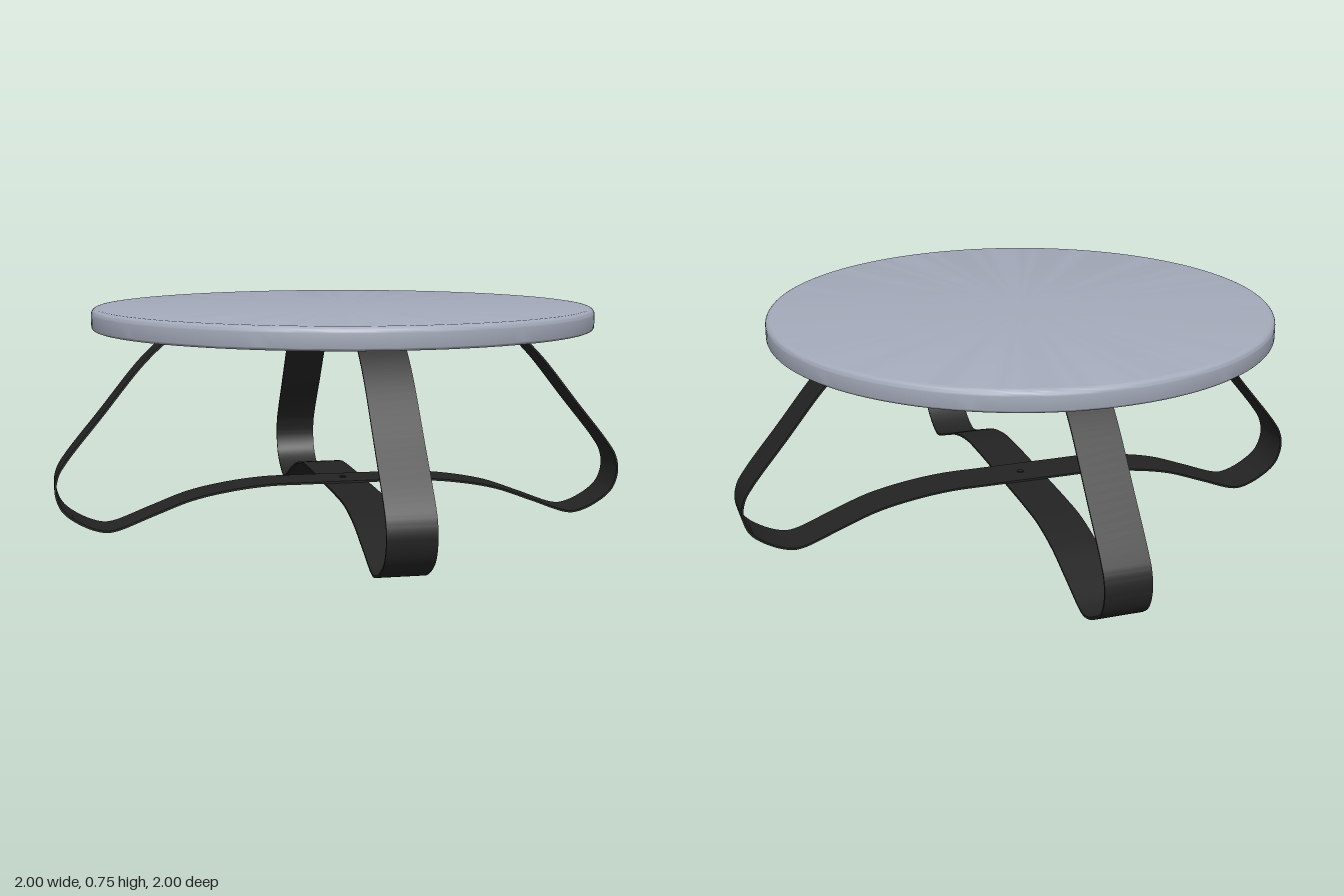
import * as THREE from 'three';
import { toCreasedNormals } from 'three/addons/utils/BufferGeometryUtils.js';

const topMaterial = new THREE.MeshStandardMaterial({ color: 0xa4aaba });
topMaterial.name = 'blue grey top';
const strapMaterial = new THREE.MeshStandardMaterial({ color: 0x232323 });
strapMaterial.name = 'black steel';

const STRAP_WIDTH = 0.154, STRAP_THICKNESS = 0.007;

function addMesh(parent, name, geometry, material) {
  const mesh = new THREE.Mesh(geometry, material);
  mesh.name = name;
  parent.add(mesh);
  return mesh;
}

// Round slab with softened rims
function tableTop() {
  const radius = 0.862, bottom = 0.684, top = 0.757;
  const profile = [new THREE.Vector2(0, bottom)];
  const rim = (r, y, from) => {
    for (let i = 0; i <= 6; i++) {
      const a = from + (i / 6) * Math.PI / 2;
      profile.push(new THREE.Vector2(radius - r + r * Math.cos(a), y + r * Math.sin(a)));
    }
  };
  rim(0.012, bottom + 0.012, -Math.PI / 2);
  rim(0.02, top - 0.02, 0);
  profile.push(new THREE.Vector2(0, top));
  return toCreasedNormals(new THREE.LatheGeometry(profile, 128), 0.6);
}

// Bent flat bar: pad, leg, foot, low arch, then the mirror image
function strapGeometry(archHeight) {
  const bend = [
    [0.58, 0.68], [0.645, 0.626], [0.71, 0.56], [0.835, 0.405], [0.96, 0.25],
    [0.987, 0.205], [0.9965, 0.15], [0.975, 0.085], [0.91, 0.034], [0.84, 0.008],
    [0.8, 0.01], [0.67, 0.058], [0.54, 0.105], [0.4, 0.133],
    [0.27, archHeight - 0.001], [0.14, archHeight], [0, archHeight],
  ].map(([x, y]) => new THREE.Vector3(x, y, 0));
  const half = new THREE.CatmullRomCurve3(bend).getPoints(112);
  half.unshift(new THREE.Vector3(0.29, 0.68, 0));
  const path = [...half, ...half.slice(0, -1).reverse().map(p => new THREE.Vector3(-p.x, p.y, 0))];

  // Offset the centre line to both sides
  const side = sign => path.map((p, i) => {
    const a = path[Math.max(i - 1, 0)], b = path[Math.min(i + 1, path.length - 1)];
    const d = b.clone().sub(a).normalize().multiplyScalar(sign * STRAP_THICKNESS / 2);
    return new THREE.Vector2(p.x - d.y, p.y + d.x);
  });
  const shape = new THREE.Shape([...side(1), ...side(-1).reverse()]);
  const geometry = new THREE.ExtrudeGeometry(shape, { depth: STRAP_WIDTH, bevelEnabled: false });
  geometry.translate(0, 0, -STRAP_WIDTH / 2);
  return toCreasedNormals(geometry, 0.5);
}

function legStrap(name, archHeight) {
  const group = new THREE.Group();
  group.name = name;
  addMesh(group, name + 'Bar', strapGeometry(archHeight), strapMaterial);
  // Two screw heads under each mounting pad
  const screw = new THREE.CylinderGeometry(0.014, 0.009, 0.012, 16);
  for (const side of [-1, 1]) {
    for (const x of [0.38, 0.46]) {
      addMesh(group, 'padScrew', screw, strapMaterial).position.set(side * x, 0.671, 0);
    }
  }
  return group;
}

export function createModel() {
  const model = new THREE.Group();
  model.name = 'roundTable';
  addMesh(model, 'tableTop', tableTop(), topMaterial);

  // Two straps cross at the centre, one resting on the other
  model.add(legStrap('sideStrap', 0.147));
  const lower = legStrap('frontBackStrap', 0.14);
  lower.rotation.y = Math.PI / 2;
  model.add(lower);

  // Bolt through the crossing
  const bolt = new THREE.CylinderGeometry(0.012, 0.012, 0.02, 16);
  addMesh(model, 'centreBolt', bolt, strapMaterial).position.y = 0.1435;
  return model;
}
